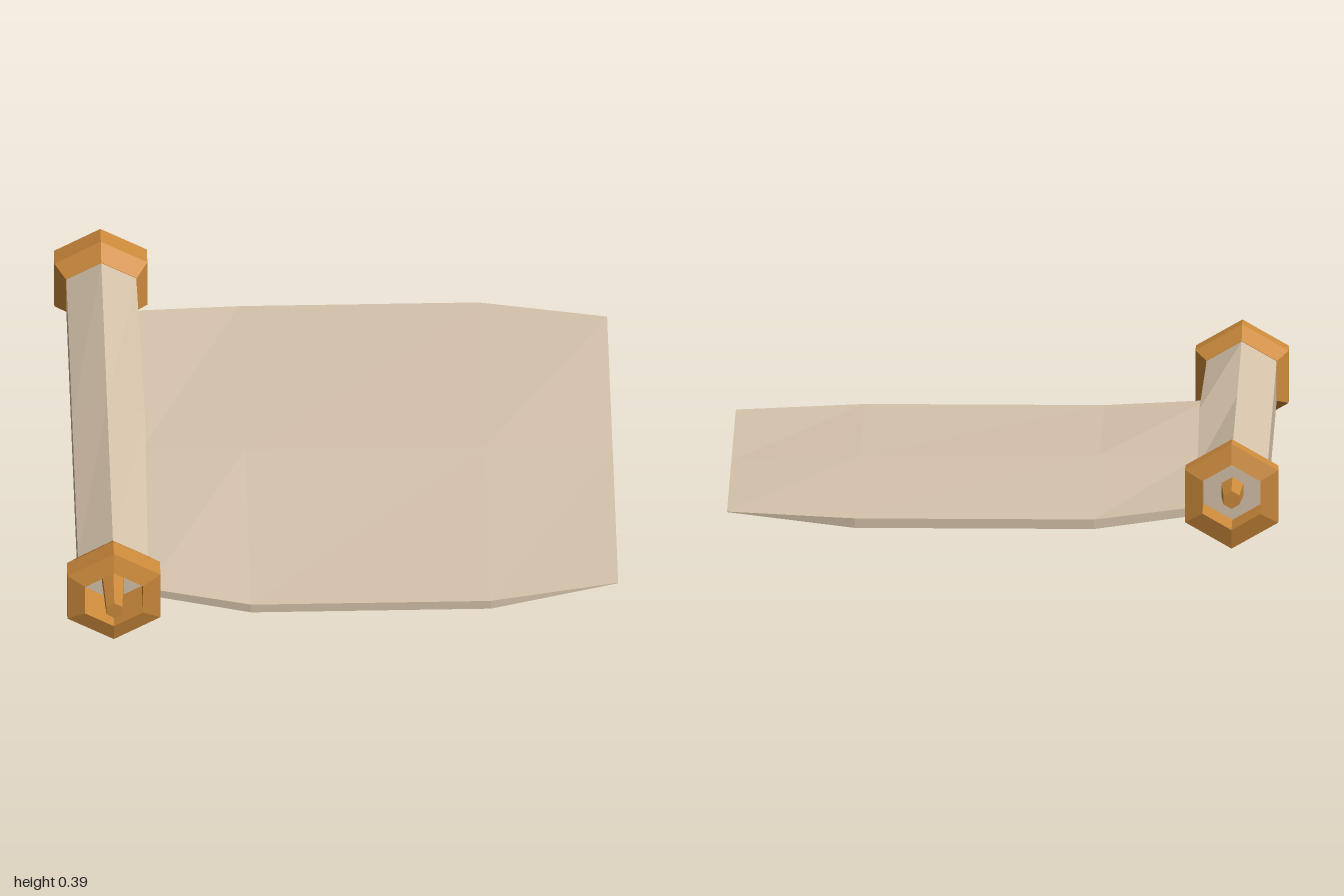
import * as THREE from 'three';

const AXIS_X = -0.825, AXIS_Y = 0.197, MID_Z = -0.025;

export function createModel() {
  const model = new THREE.Group();
  model.name = 'scroll';
  const paper = new THREE.MeshStandardMaterial({ color: 0xd6c3ab, flatShading: true });
  const wood = new THREE.MeshStandardMaterial({ color: 0xcd8b3c, flatShading: true });

  const add = (name, geometry, material, x, y, z) => {
    const mesh = new THREE.Mesh(geometry, material);
    mesh.name = name;
    mesh.position.set(x, y, z);
    model.add(mesh);
    return mesh;
  };

  // Rolled paper: hexagonal tube whose right side swells slightly mid-length
  const roll = new THREE.CylinderGeometry(0.145, 0.145, 1.63, 6, 2).rotateX(Math.PI / 2);
  const p = roll.attributes.position;
  for (let i = 0; i < p.count; i++) {
    if (Math.abs(p.getZ(i)) > 0.01) continue;
    if (p.getX(i) > 0.05 && p.getY(i) > 0) p.setXYZ(i, p.getX(i) + 0.01, p.getY(i) + 0.018, 0);
    else if (p.getY(i) > 0.1) p.setY(i, p.getY(i) - 0.006);
  }
  add('paperRoll', roll, paper, AXIS_X, AXIS_Y, MID_Z);

  // Flared hexagonal end caps, hollow at the outer face
  const capProfile = [
    [0.12, 0], [0.147, 0], [0.193, 0.063], [0.193, 0.138], [0.12, 0.157], [0.12, 0],
  ].map(([r, h]) => new THREE.Vector2(r, h));
  for (const [name, side] of [['frontCap', 1], ['backCap', -1]]) {
    const cap = new THREE.LatheGeometry(capProfile, 6).rotateX(side * Math.PI / 2);
    add(name, cap, wood, AXIS_X, AXIS_Y, MID_Z + side * 0.815);
    // Tapered pin in the hollow of the cap
    const length = side > 0 ? 0.21 : 0.16;
    const pin = new THREE.CylinderGeometry(0.033, 0.046, length, 6).rotateX(side * Math.PI / 2);
    add(side > 0 ? 'frontPin' : 'backPin', pin, wood, AXIS_X, AXIS_Y - 0.008, MID_Z + side * (0.815 + length / 2));
  }

  add('unrolledSheet', sheetGeometry(), paper, 0, 0, MID_Z);
  return model;
}

// Unrolled sheet: closed, gently crowned cross-sections lofted along x
function sheetGeometry() {
  // x, half width, underside y, edge y, crown y
  const stations = [
    [-0.74, 0.81, 0.101, 0.125, 0.125],
    [-0.70, 0.815, 0.093, 0.124, 0.122],
    [-0.33, 0.875, 0.055, 0.09, 0.117],
    [0.53, 0.875, 0.055, 0.09, 0.11],
    [0.99, 0.78, 0.088, 0.09, 0.09],
  ];
  const positions = [], index = [], n = 5;
  for (const [x, w, low, edge, crown] of stations) {
    positions.push(x, low, -w, x, low, w, x, edge, w, x, crown, 0, x, edge, -w);
  }
  for (let s = 0; s < stations.length - 1; s++) {
    for (let k = 0; k < n; k++) {
      const a = s * n + k, b = s * n + (k + 1) % n;
      index.push(a, a + n, b + n, a, b + n, b);
    }
  }
  // Close both ends
  const e = (stations.length - 1) * n;
  for (let k = 1; k < n - 1; k++) {
    index.push(0, k, k + 1, e, e + k + 1, e + k);
  }
  const geometry = new THREE.BufferGeometry();
  geometry.setAttribute('position', new THREE.Float32BufferAttribute(positions, 3));
  geometry.setIndex(index);
  geometry.computeVertexNormals();
  return geometry;
}
